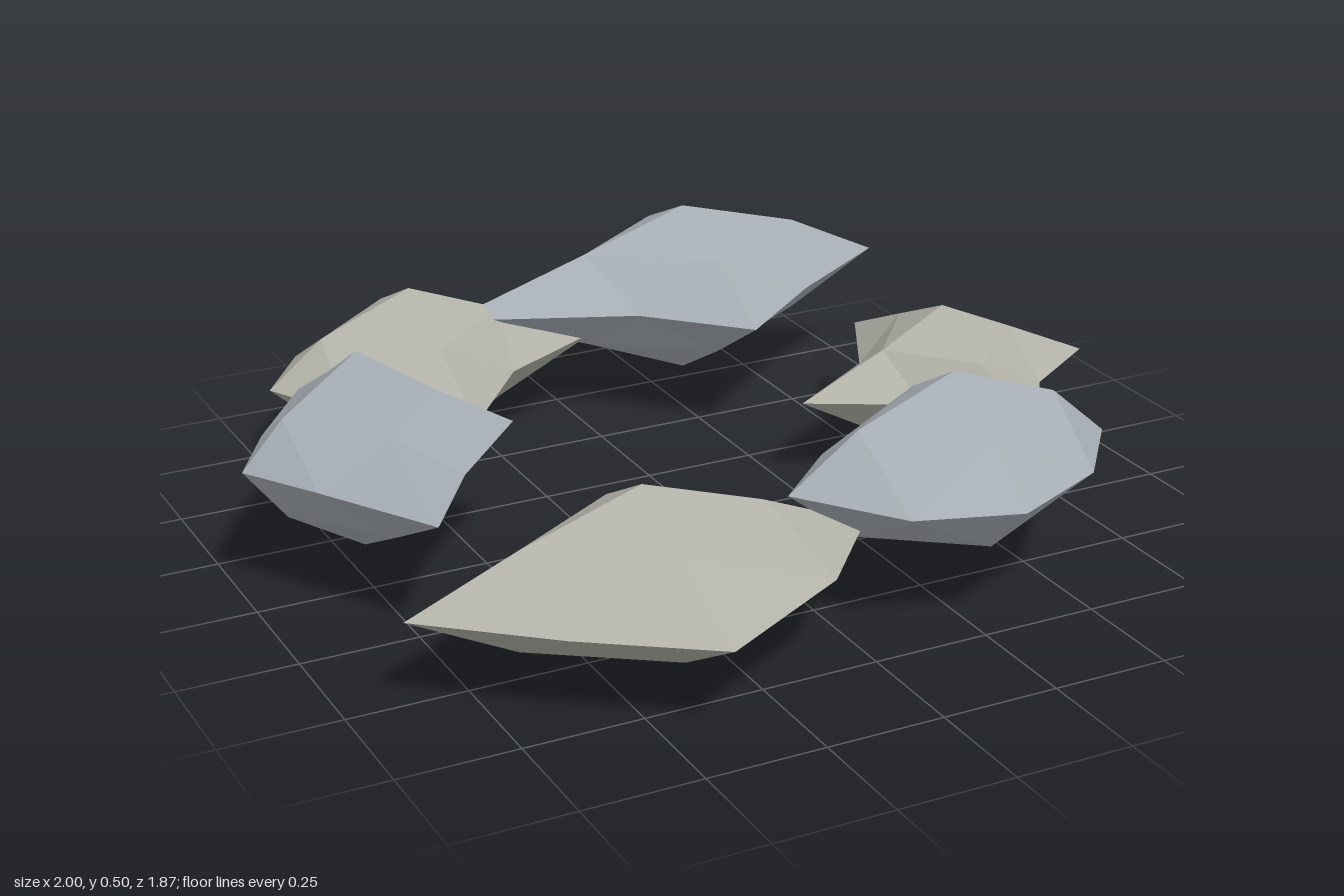
import * as THREE from 'three';

const warm = new THREE.MeshStandardMaterial({ color: 0xb2b2a8, flatShading: true });
const cool = new THREE.MeshStandardMaterial({ color: 0xa6adb4, flatShading: true });

// Each rock is an irregular octahedron, every face split in four.
// tips: distances to +x, -x, +y, -y, +z, -z
// rim: [x, z] sizes of the equator corners, order ++, +-, -+, --
// slope: outward reach of the corners between equator and poles at +x, -x, +z, -z
// rise: height of those corners above and below the equator
const ROCKS = [
  { name: 'leftSideRock', mat: cool, pos: [-0.75, 0.295, -0.04],
    tips: [0.335, 0.25, 0.215, 0.21, 0.415, 0.37],
    rim: [[0.14, 0.21], [0.165, 0.16], [0.15, 0.16], [0.155, 0.16]],
    slope: [0.17, 0.16, 0.19, 0.19], rise: [0.1, 0.115] },
  { name: 'rightSideRock', mat: warm, pos: [0.62, 0.205, -0.04],
    tips: [0.375, 0.35, 0.17, 0.185, 0.39, 0.38],
    rim: [[0.18, 0.13], [0.155, 0.15], [0.12, 0.125], [0.12, 0.15]],
    slope: [0.18, 0.15, 0.17, 0.18], rise: [0.09, 0.108] },
  { name: 'frontCoolRock', mat: cool, pos: [0.28, 0.295, 0.55],
    tips: [0.365, 0.37, 0.195, 0.16, 0.28, 0.27],
    rim: [[0.225, 0.175], [0.24, 0.145], [0.215, 0.21], [0.21, 0.15]],
    slope: [0.24, 0.215, 0.16, 0.15], rise: [0.11, 0.12] },
  { name: 'frontWarmRock', mat: warm, pos: [-0.405, 0.205, 0.55],
    tips: [0.49, 0.49, 0.18, 0.19, 0.38, 0.27],
    rim: [[0.31, 0.205], [0.305, 0.205], [0.25, 0.205], [0.245, 0.145]],
    slope: [0.26, 0.26, 0.18, 0.16], rise: [0.095, 0.115] },
  { name: 'backWarmRock', mat: warm, pos: [-0.405, 0.205, -0.64],
    tips: [0.45, 0.335, 0.185, 0.2, 0.38, 0.29],
    rim: [[0.19, 0.14], [0.205, 0.205], [0.23, 0.2], [0.215, 0.17]],
    slope: [0.22, 0.21, 0.18, 0.18], rise: [0.1, 0.11] },
  { name: 'backCoolRock', mat: cool, pos: [0.28, 0.295, -0.64],
    tips: [0.505, 0.59, 0.185, 0.215, 0.365, 0.295],
    rim: [[0.235, 0.175], [0.245, 0.16], [0.195, 0.165], [0.23, 0.195]],
    slope: [0.29, 0.25, 0.18, 0.18], rise: [0.105, 0.115] },
];

function rockGeometry({ tips, rim, slope, rise }) {
  const positions = [];
  const idx = (s) => (s > 0 ? 0 : 1);
  for (const sx of [1, -1]) for (const sy of [1, -1]) for (const sz of [1, -1]) {
    const X = [sx * tips[idx(sx)], 0, 0];
    const Y = [0, sy * tips[2 + idx(sy)], 0];
    const Z = [0, 0, sz * tips[4 + idx(sz)]];
    const [rx, rz] = rim[2 * idx(sx) + idx(sz)];
    const h = sy * rise[idx(sy)];
    const XZ = [sx * rx, 0, sz * rz];
    const XY = [sx * slope[idx(sx)], h, 0];
    const YZ = [0, h, sz * slope[2 + idx(sz)]];
    // mirrored octants need the opposite corner order
    for (const [a, b, c] of [[X, XY, XZ], [XY, Y, YZ], [XZ, YZ, Z], [XY, YZ, XZ]]) {
      positions.push(...a, ...(sx * sy * sz > 0 ? [...b, ...c] : [...c, ...b]));
    }
  }
  const geometry = new THREE.BufferGeometry();
  geometry.setAttribute('position', new THREE.Float32BufferAttribute(positions, 3));
  geometry.computeVertexNormals();
  return geometry;
}

export function createModel() {
  const group = new THREE.Group();
  group.name = 'rockRing';
  for (const rock of ROCKS) {
    const mesh = new THREE.Mesh(rockGeometry(rock), rock.mat);
    mesh.name = rock.name;
    mesh.position.set(...rock.pos);
    group.add(mesh);
  }
  return group;
}
